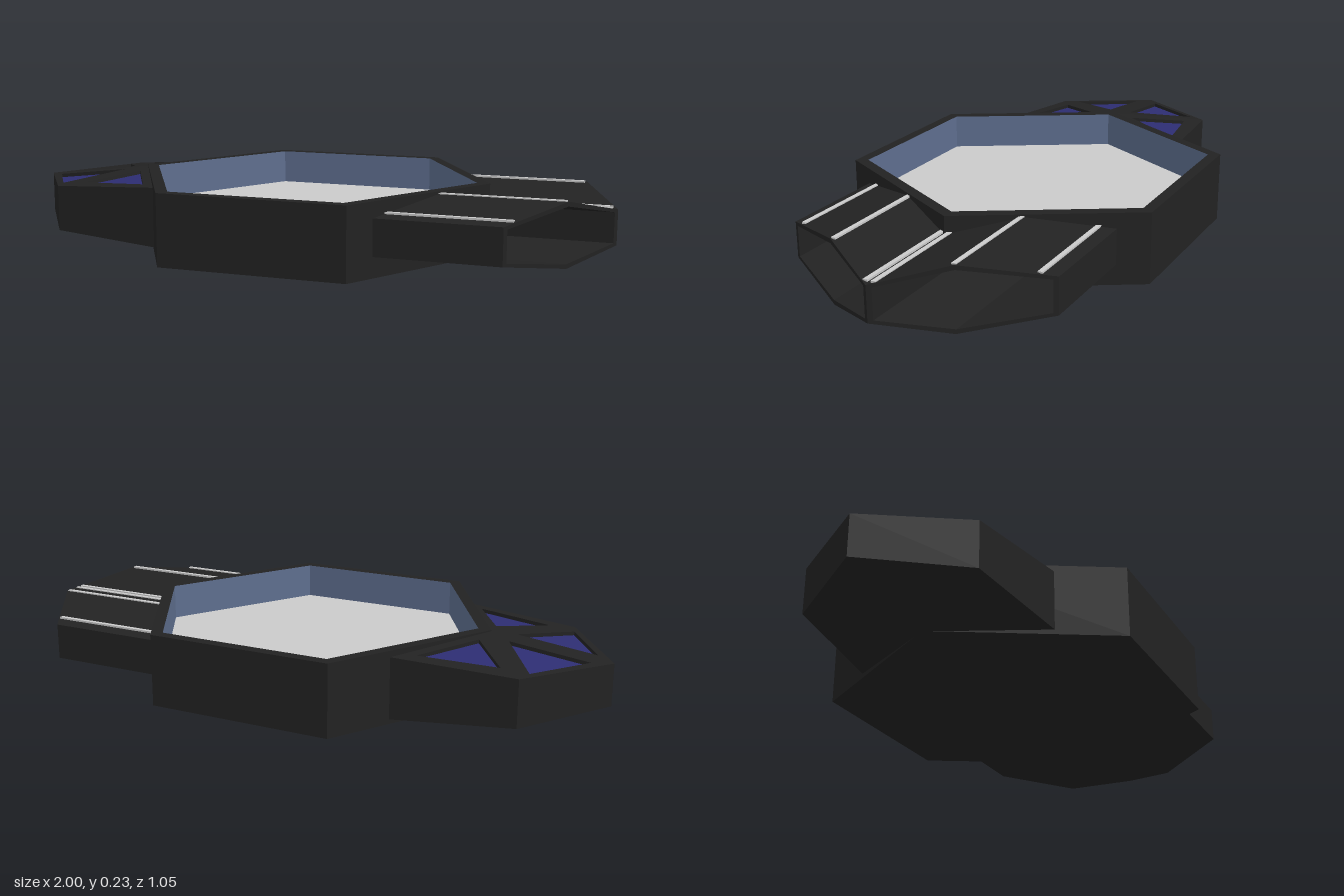
import * as THREE from 'three';

const V = (x, y, z) => new THREE.Vector3(x, y, z);

const paint = (name, color) => {
  const m = new THREE.MeshStandardMaterial({ color });
  m.name = name;
  return m;
};

// Triangles joining successive rings of points (same count in each ring)
function loft(rings) {
  const tris = [];
  for (let i = 0; i < rings.length - 1; i++) {
    const r0 = rings[i], r1 = rings[i + 1], n = r0.length;
    for (let j = 0; j < n; j++) {
      const k = (j + 1) % n;
      for (const t of [[r0[j], r1[j], r1[k]], [r0[j], r1[k], r0[k]]]) {
        const area = t[1].clone().sub(t[0]).cross(t[2].clone().sub(t[0])).length();
        if (area > 1e-9) tris.push(...t);
      }
    }
  }
  return tris;
}

// Ring collapsed to one point, used to close a loft
const point = (ring, p) => ring.map(() => p);
const centre = (ring) => ring.reduce((s, p) => s.add(p), V(0, 0, 0)).divideScalar(ring.length);

// Flat-shaded mesh; side = -1 mirrors it across z
function build(name, tris, material, side = 1) {
  const pts = [];
  for (let i = 0; i < tris.length; i += 3) {
    const [a, b, c] = tris.slice(i, i + 3);
    pts.push(...(side > 0 ? [a, b, c] : [a, c, b]).map((p) => V(p.x, p.y, p.z * side)));
  }
  const g = new THREE.BufferGeometry().setFromPoints(pts);
  g.computeVertexNormals();
  const mesh = new THREE.Mesh(g, material);
  mesh.name = name;
  return mesh;
}

// Height of the plane through a, b, c at x, z
function onPlane([a, b, c], x, z) {
  const n = b.clone().sub(a).cross(c.clone().sub(a));
  return V(x, a.y - (n.x * (x - a.x) + n.z * (z - a.z)) / n.y, z);
}

export function createModel() {
  const model = new THREE.Group();
  const black = paint('hull black', 0x222222);
  const grey = paint('light grey', 0xcacaca);
  const slate = paint('slate blue', 0x5e6e8e);
  const navy = paint('window blue', 0x2d2d72);

  // Hexagonal main hull: an open tray with a thick rim
  const hex = (r, y) => Array.from({ length: 6 }, (_, i) => {
    const a = (i * Math.PI) / 3;
    return V(-0.007 + r * Math.cos(a), y, r * Math.sin(a));
  });
  const base = hex(0.607, 0), rim = hex(0.565, 0.23), deck = hex(0.565, 0.115);
  model.add(build('mainHull', loft([point(base, centre(base)), base, hex(0.607, 0.23), rim]), black));
  model.add(build('trayWalls', loft([rim, deck]), slate));
  model.add(build('trayFloor', loft([deck, point(deck, centre(deck))]), grey));

  // Cockpit wedge: sides and underside
  const tip = V(-1, 0.18, 0), corner = V(-0.8, 0.188, 0.29);
  const root = V(-0.42, 0.21, 0.335), peak = V(-0.605, 0.227, 0);
  const flip = (p) => V(p.x, p.y, -p.z);
  const upper = [tip, flip(corner), flip(root), peak, root, corner];
  const lower = upper.map((p) => V(p.x, 0.225 - p.y, p.z));
  model.add(build('cockpitBody', loft([point(lower, lower[3]), lower, upper]), black));

  // Cockpit roof: triangular frames around recessed windows
  const roof = [
    { outer: [tip, corner, peak], glass: [[-0.94, 0.04], [-0.813, 0.235], [-0.685, 0.04]] },
    { outer: [corner, root, peak], glass: [[-0.728, 0.243], [-0.482, 0.285], [-0.603, 0.08]] },
  ];
  for (const side of [1, -1]) {
    for (const { outer, glass } of roof) {
      const inner = glass.map(([x, z]) => onPlane(outer, x, z));
      const sunk = inner.map((p) => V(p.x, p.y - 0.012, p.z));
      const rings = [outer, inner, sunk].map((r) => [...r].reverse());
      model.add(build('windowFrame', loft(rings), black, side));
      model.add(build('cockpitWindow', sunk, navy, side));
    }
  }

  // Twin engines: hollow six-sided ducts with a swept-back mouth
  const section = [[0.437, 0.18], [0.2, 0.222], [0, 0.172], [0, 0.06], [0.2, 0.02], [0.437, 0.065]];
  const front = (z) => 0.58 - 0.577 * z;
  const mouth = (z) => 0.997 - 0.61 * z;
  const lining = section.map(([z, y]) => [0.22 + (z - 0.22) * 0.94, 0.12 + (y - 0.12) * 0.86]);
  const duct = (profile, endX) => profile.map(([z, y]) => V(endX(z), y, z));
  const engine = loft([duct(section, front), duct(section, mouth), duct(lining, mouth), duct(lining, front)]);

  // Pale stripes running along the engine tops: z, height
  const stripes = [[0.39, 0.189], [0.195, 0.221], [0.013, 0.176]];
  for (const side of [1, -1]) {
    model.add(build('engineDuct', engine, black, side));
    for (const [z, y] of stripes) {
      const w = 0.007, h = 0.004;
      const bar = (x) => [V(x, y + h, z + w), V(x, y + h, z - w), V(x, y - h, z - w), V(x, y - h, z + w)];
      const a = bar(front(z) + 0.01), b = bar(mouth(z) - 0.008);
      model.add(build('engineStripe', loft([point(a, centre(a)), a, b, point(b, centre(b))]), grey, side));
    }
  }
  return model;
}
